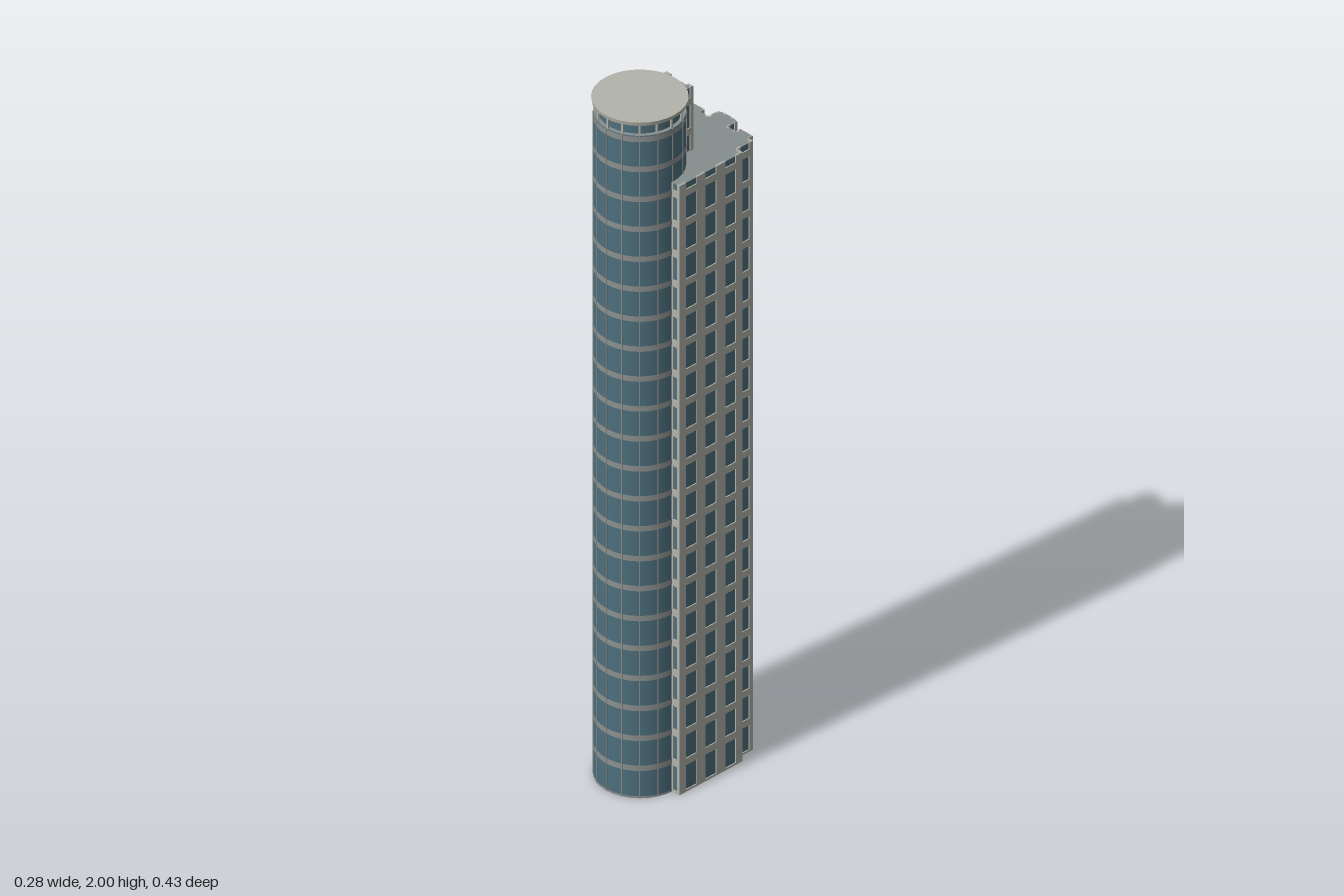
import * as THREE from 'three';
import { mergeGeometries } from 'three/addons/utils/BufferGeometryUtils.js';

const FLOOR = 0.0885; // storey height
const mat = (name, color, side = THREE.FrontSide) => {
  const m = new THREE.MeshStandardMaterial({ color, side });
  m.name = name;
  return m;
};

export function createModel() {
  const glass = mat('blue glass', 0x4d6f7d, THREE.DoubleSide);
  const stone = mat('pale stone', 0xb2b3aa, THREE.DoubleSide);
  const metal = mat('grey metal', 0x8c918e, THREE.DoubleSide);
  const roofing = mat('grey roof', 0x868e8e, THREE.DoubleSide);
  const model = new THREE.Group();
  model.name = 'tower';

  const add = (parent, name, geometry, material) => {
    const mesh = new THREE.Mesh(geometry, material);
    mesh.name = name;
    parent.add(mesh);
    return mesh;
  };

  // Heights of the floor bands between two levels
  const bandLevels = (y0, y1) => {
    const out = [];
    for (let k = 1; k * FLOOR < y1; k++) if (k * FLOOR > y0 + 0.01) out.push(k * FLOOR);
    return out;
  };

  // Walls along a half plan mirrored in x. Each row: x, z, then the number
  // and width of the windows in the wall that starts at this point.
  function block(name, half, y0, y1) {
    const group = new THREE.Group();
    group.name = name;
    const n = half.length;
    const pts = half.map(([x, z]) => [x, z]);
    const spec = half.map(([, , count, width]) => [count, width]);
    for (let i = n - 1; i >= 0; i--) {
      pts.push([-half[i][0], half[i][1]]);
      if (i > 0) spec.push(spec[i - 1]);
    }
    const panes = [], frames = [], h = y1 - y0;
    for (let i = 0; i < pts.length - 1; i++) {
      const [ax, az] = pts[i], [bx, bz] = pts[i + 1];
      const dx = bx - ax, dz = bz - az, len = Math.hypot(dx, dz);
      const place = new THREE.Matrix4().makeRotationY(Math.atan2(-dz, dx)).setPosition(ax, 0, az);
      const plate = (from, to, low, high) => frames.push(
        new THREE.BoxGeometry(to - from, high - low, 0.006)
          .translate((from + to) / 2, (low + high) / 2, -0.003).applyMatrix4(place));
      const [count, width] = spec[i];
      if (count === 0) {
        plate(0, len, y0, y1);
        continue;
      }
      panes.push(new THREE.PlaneGeometry(len, h).translate(len / 2, y0 + h / 2, -0.003).applyMatrix4(place));
      // Piers: the two at the ends are three quarters of an inner one
      const pier = (len - count * width) / (count + 0.5);
      let s = 0;
      for (let k = 0; k <= count; k++) {
        const w = k === 0 || k === count ? pier * 0.75 : pier;
        plate(s, s + w, y0, y1);
        s += w + width;
      }
      for (const y of bandLevels(y0, y1)) plate(0, len, y - 0.01, y + 0.01);
      if (y0 === 0) plate(0, len, 0, 0.006);
    }
    add(group, name + 'Windows', mergeGeometries(panes), glass);
    add(group, name + 'Frame', mergeGeometries(frames), stone);
    const plan = new THREE.Shape(pts.map(([x, z]) => new THREE.Vector2(x, -z)));
    add(group, name + 'Roof', new THREE.ShapeGeometry(plan).rotateX(-Math.PI / 2).translate(0, y1, 0), roofing);
    model.add(group);
  }

  // Stepped rear block with a curved bay at the back
  block('rearBlock', [
    [0.112, 0.096, 1, 0.014],
    [0.142, 0.096, 3, 0.037],
    [0.142, -0.125, 0],
    [0.123, -0.125, 1, 0.029],
    [0.123, -0.18, 0],
    [0.107, -0.18, 0],
    [0.107, -0.195, 1, 0.026],
    [0.062, -0.195, 0],
    [0.062, -0.18, 1, 0.015],
    [0.034, -0.18, 1, 0.016],
    [0.034, -0.214, 1, 0.014],
    [0.012, -0.218, 1, 0.02],
  ], 0, 1.8);

  // Notched lift shaft behind the crown of the round tower
  block('liftShaft', [
    [0.047, -0.01, 1, 0.018],
    [0.047, -0.047, 0],
    [0.03, -0.047, 0],
    [0.03, -0.039, 1, 0.046],
  ], 1.8, 1.988);

  // Round front tower
  const round = new THREE.Group();
  round.name = 'roundTower';
  round.position.z = 0.093;
  model.add(round);
  const R = 0.115, TOP = 1.957;
  const tube = (r, low, high) =>
    new THREE.CylinderGeometry(r, r, high - low, 32, 1, true).translate(0, (low + high) / 2, 0);
  add(round, 'roundGlass', tube(R, 0, TOP), glass);
  const bands = bandLevels(0, TOP).map((y) => tube(R + 0.001, y - 0.008, y + 0.008));
  bands.push(tube(R + 0.001, 0, 0.006));
  add(round, 'roundBands', mergeGeometries(bands), metal);

  // Mullions up the glass and posts around the recessed crown
  const mullions = [], posts = [];
  for (let i = 0; i < 16; i++) {
    const a = (i * Math.PI) / 8;
    mullions.push(new THREE.BoxGeometry(0.003, TOP, 0.004).translate(0, TOP / 2, R).rotateY(a));
    posts.push(new THREE.BoxGeometry(0.005, 0.035, 0.005).translate(0, TOP + 0.0175, 0.111).rotateY(a));
  }
  add(round, 'mullions', mergeGeometries(mullions), metal);
  add(round, 'crownPosts', mergeGeometries(posts), stone);
  add(round, 'crownLedge', new THREE.CircleGeometry(R, 32).rotateX(-Math.PI / 2).translate(0, TOP, 0), roofing);
  add(round, 'crownGlass', tube(0.104, TOP, 1.99), glass);
  add(round, 'roofDisc', new THREE.CylinderGeometry(0.121, 0.119, 0.011, 32).translate(0, 1.9945, 0), stone);

  return model;
}
